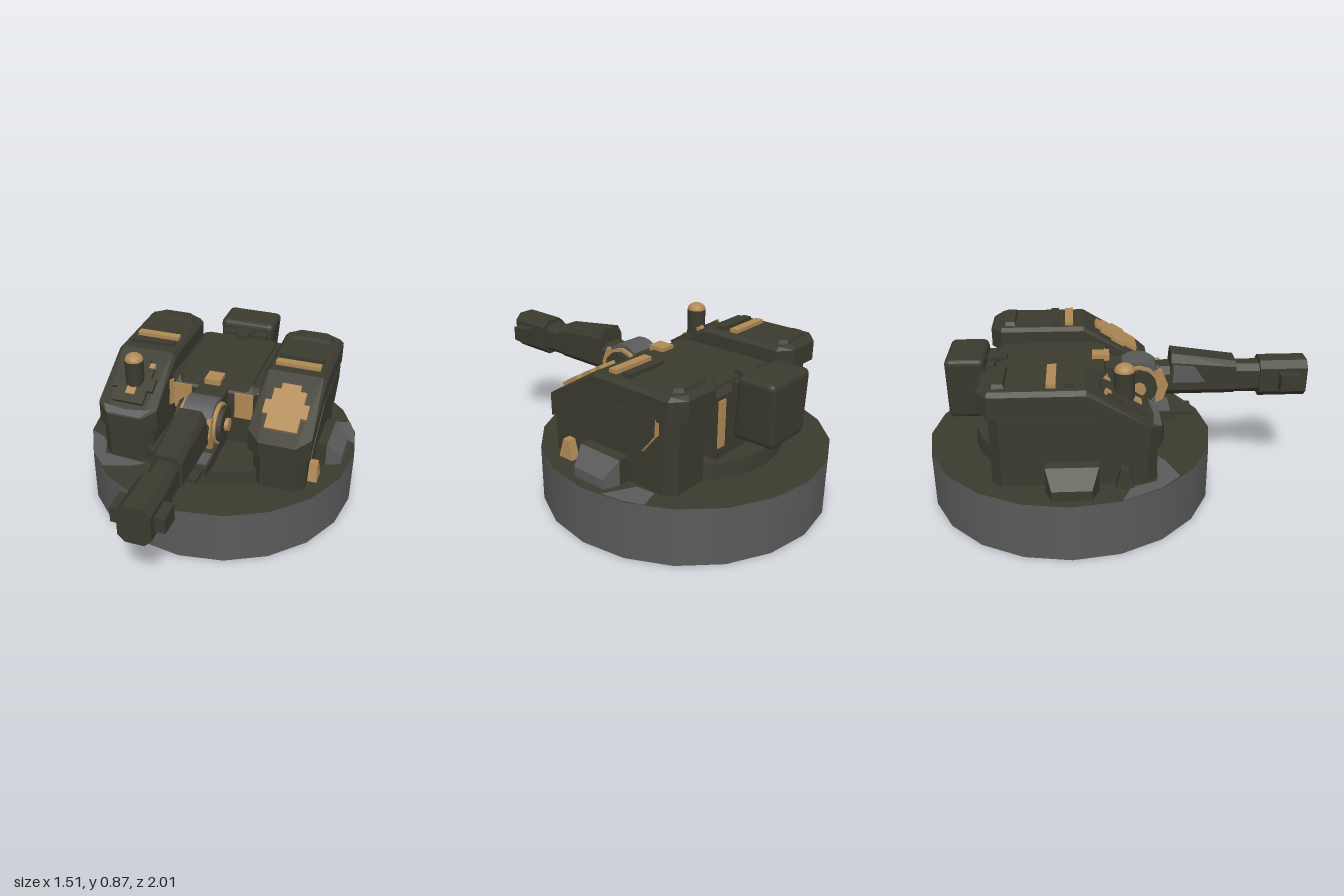
import * as THREE from 'three';
import { ConvexGeometry } from 'three/addons/geometries/ConvexGeometry.js';
import { RoundedBoxGeometry } from 'three/addons/geometries/RoundedBoxGeometry.js';

const paint = (name, color) => {
  const m = new THREE.MeshStandardMaterial({ color, side: THREE.DoubleSide });
  m.name = name;
  return m;
};

export function createModel() {
  const root = new THREE.Group();
  root.name = 'gunTurret';
  const olive = paint('darkOlive', 0x3b3a2f);
  const gray = paint('gunGray', 0x5a5a5b);
  const tan = paint('sandTan', 0xb08955);

  const add = (parent, name, geo, mat, x = 0, y = 0, z = 0) => {
    const m = new THREE.Mesh(geo, mat);
    m.name = name;
    m.position.set(x, y, z);
    parent.add(m);
    return m;
  };
  const box = (w, h, d) => new THREE.BoxGeometry(w, h, d);
  // Convex solid from [z, y, inset] side points, mirrored across its width
  const solid = (x0, x1, pts) => new ConvexGeometry(pts.flatMap(([z, y, i = 0]) =>
    [new THREE.Vector3(x0 + i, y, z), new THREE.Vector3(x1 - i, y, z)]));
  const plate = (pts, depth) => new THREE.ExtrudeGeometry(
    new THREE.Shape(pts.map(p => new THREE.Vector2(...p))), { depth, bevelEnabled: false });
  // Octagonal bar along z
  const octBar = (w, h, c, d) => plate([[-w + c, -h], [w - c, -h], [w, -h + c], [w, h - c],
    [w - c, h], [-w + c, h], [-w, h - c], [-w, -h + c]], d);
  const flat = (name, pts, y) => {
    const m = add(root, name, new THREE.ShapeGeometry(
      new THREE.Shape(pts.map(([x, z]) => new THREE.Vector2(x, -z)))), gray, 0, y, 0);
    m.rotation.x = -Math.PI / 2;
  };

  // Hollow drum with a deck and a raised turning ring
  add(root, 'drumWall', new THREE.CylinderGeometry(0.755, 0.755, 0.3, 20, 1, true), gray, 0, 0.15, -0.25);
  const deck = add(root, 'drumDeck', new THREE.RingGeometry(0.5, 0.755, 20, 1, Math.PI / 2), olive, 0, 0.3, -0.25);
  deck.rotation.x = -Math.PI / 2;
  add(root, 'turningRing', new THREE.CylinderGeometry(0.5, 0.51, 0.08, 32, 1, true), olive, 0, 0.34, -0.25);
  const floor = add(root, 'ringFloor', new THREE.CircleGeometry(0.5, 32), olive, 0, 0.38, -0.25);
  floor.rotation.x = -Math.PI / 2;
  flat('deckPatchFront', [[-0.715, -0.01], [-0.6, 0.04], [-0.55, 0.17], [-0.3, 0.19], [-0.36, 0.23],
    [-0.51, 0.285], [-0.611, 0.19]], 0.303);
  flat('deckPatchRear', [[0.57, -0.54], [0.675, -0.57], [0.715, -0.48], [0.735, -0.36], [0.58, -0.44]], 0.303);

  // Centre hull with raised roof panel
  add(root, 'centreHull', solid(-0.25, 0.25, [[-0.06, 0.38, 0.03], [-0.06, 0.68, 0.03], [-0.1, 0.72, 0.05],
    [-0.12, 0.38], [-0.12, 0.7], [-0.64, 0.7], [-0.62, 0.72, 0.03], [-0.64, 0.38]]), olive);
  add(root, 'roofPanel', solid(-0.21, 0.21, [[-0.06, 0.7, 0.04], [-0.1, 0.7], [-0.11, 0.735, 0.01],
    [-0.07, 0.735, 0.05], [-0.6, 0.735, 0.01], [-0.61, 0.7]]), olive);
  for (const s of [-1, 1]) {
    add(root, 'frontCheek', box(0.1, 0.15, 0.008), tan, s * 0.17, 0.615, -0.058);
    add(root, 'cheekFlank', box(0.008, 0.15, 0.06), tan, s * 0.238, 0.615, -0.09).rotation.y = s * 0.46;
    add(root, 'rearStrip', box(0.05, 0.24, 0.008), tan, s * 0.22, 0.56, -0.645);
  }
  add(root, 'roofLatch', box(0.1, 0.03, 0.05), olive, 0, 0.74, -0.645);
  add(root, 'roofLatchTongue', box(0.06, 0.03, 0.06), olive, 0, 0.74, -0.6);

  // Rear stowage box
  add(root, 'rearMount', box(0.26, 0.26, 0.08), olive, 0, 0.61, -0.67);
  const bin = new RoundedBoxGeometry(0.32, 0.33, 0.2, 2, 0.03);
  const p = bin.attributes.position;
  for (let i = 0; i < p.count; i++) {
    const k = 0.5 - p.getY(i) / 0.33;
    p.setX(i, p.getX(i) * (1 - 0.14 * k));
    if (p.getZ(i) > 0) p.setZ(i, p.getZ(i) + 0.03 * k);
  }
  bin.computeVertexNormals();
  add(root, 'rearBin', bin, olive, 0, 0.625, -0.775);

  // Armoured side pods
  const cross = [[-0.085, -0.13], [0.085, -0.13], [0.085, -0.05], [0.115, -0.05], [0.115, 0.03], [0.085, 0.03],
    [0.085, 0.1], [0.05, 0.1], [0.05, 0.135], [-0.05, 0.135], [-0.05, 0.1], [-0.085, 0.1],
    [-0.085, 0.03], [-0.115, 0.03], [-0.115, -0.05], [-0.085, -0.05]];
  for (const s of [-1, 1]) {
    const pod = new THREE.Group();
    pod.name = s > 0 ? 'leftPod' : 'rightPod';
    root.add(pod);
    const span = (a, b) => s > 0 ? [a, b] : [-b, -a];
    add(pod, 'podBody', solid(...span(0.28, 0.56), [[0.17, 0.3, 0.05], [0.17, 0.52, 0.05], [0.12, 0.3],
      [0.12, 0.54], [-0.17, 0.74], [-0.58, 0.74], [-0.58, 0.3], [-0.63, 0.3, 0.05], [-0.63, 0.74, 0.05]]), olive);
    add(pod, 'slopedArmour', solid(...span(0.25, 0.58), [[0.19, 0.5, 0.07], [0.19, 0.58, 0.07], [0.13, 0.49],
      [0.13, 0.61], [-0.17, 0.8, 0.02], [-0.17, 0.78], [-0.17, 0.67]]), olive);
    add(pod, 'topArmour', solid(...span(0.25, 0.58), [[-0.17, 0.8, 0.02], [-0.17, 0.78], [-0.17, 0.67],
      [-0.62, 0.8, 0.02], [-0.62, 0.78], [-0.62, 0.67], [-0.66, 0.8, 0.09], [-0.68, 0.78, 0.07],
      [-0.68, 0.68, 0.07]]), olive);
    // Side panel and its coloured rear edge
    add(pod, 'sidePanel', solid(...span(0.55, 0.585), [[0.12, 0.5], [0.1, 0.53], [-0.13, 0.68],
      [-0.55, 0.68], [-0.55, 0.6], [-0.47, 0.5]]), olive);
    if (s > 0) {
      add(pod, 'panelEdge', box(0.02, 0.08, 0.008), tan, 0.572, 0.64, -0.552);
      add(pod, 'panelEdgeLower', box(0.02, 0.125, 0.008), tan, 0.572, 0.55, -0.512).rotation.x = -0.675;
    }
    // Roof bars and hatch
    [-0.33, -0.25].forEach((z, i) =>
      add(pod, 'roofBar', box(0.24, 0.03, 0.045), (i === 1) === (s > 0) ? tan : olive, s * 0.41, 0.805, z));
    add(pod, 'roofHatch', solid(...span(0.29, 0.53), [[-0.54, 0.79], [-0.6, 0.79], [-0.64, 0.79, 0.04],
      [-0.55, 0.82, 0.015], [-0.6, 0.82, 0.015], [-0.63, 0.82, 0.045]]), olive);
    // Fittings on the sloped face
    const slope = new THREE.Group();
    slope.name = 'slopeFittings';
    slope.position.set(s * 0.415, 0.69, 0.01);
    slope.rotation.x = -1.022;
    pod.add(slope);
    add(slope, 'slopePlate', plate(cross, 0.02), s > 0 ? tan : olive);
    if (s < 0) {
      for (const x of [-0.07, 0.07]) add(slope, 'plateTab', box(0.03, 0.03, 0.02), tan, x, 0.1, 0.015);
      add(slope, 'plateStud', box(0.05, 0.05, 0.02), tan, 0, -0.06, 0.02);
      add(slope, 'slopePatch', plate([[-0.1, -0.205], [0.09, -0.205], [0.14, -0.15], [0, -0.17], [-0.13, -0.155]], 0.006), gray);
    }
    // Low side blocks and small vents
    add(pod, 'sideBlock', solid(...span(0.54, 0.62), [[-0.115, 0.3], [-0.115, 0.43], [-0.37, 0.3], [-0.37, 0.43]]), olive);
    add(pod, 'sideBlockSlope', new ConvexGeometry([[0.62, 0.43, -0.115], [0.62, 0.43, -0.37], [0.62, 0.3, -0.115],
      [0.62, 0.3, -0.37], [0.7, 0.35, -0.15], [0.7, 0.35, -0.34], [0.7, 0.3, -0.15], [0.7, 0.3, -0.34]]
      .map(([x, y, z]) => new THREE.Vector3(s * x, y, z))), s > 0 ? gray : olive);
    add(pod, 'sideVent', solid(...span(0.55, 0.61), [[0.055, 0.3], [0.03, 0.4, 0.008], [-0.01, 0.4, 0.008],
      [-0.035, 0.3]]), s > 0 ? tan : olive);
  }

  // Periscope on one pod
  add(root, 'periscopeTube', new THREE.CylinderGeometry(0.05, 0.05, 0.15, 16), olive, -0.415, 0.755, 0.015);
  const cap = add(root, 'periscopeCap', new THREE.SphereGeometry(0.05, 16, 6, 0, Math.PI * 2, 0, Math.PI / 2),
    tan, -0.415, 0.83, 0.015);
  cap.scale.y = 0.75;

  // Gun cradle with trunnion discs
  const gun = new THREE.Group();
  gun.name = 'gun';
  root.add(gun);
  const drum = (name, r, w, mat, x, sides) =>
    add(gun, name, new THREE.CylinderGeometry(r, r, w, sides), mat, x, 0.6, 0.11).rotation.z = Math.PI / 2;
  add(gun, 'cradle', box(0.16, 0.2, 0.16), olive, 0, 0.6, -0.01);
  drum('rotor', 0.13, 0.16, gray, 0, 20);
  for (const s of [-1, 1]) {
    drum('trunnionRing', 0.11, 0.03, tan, s * 0.085, 12);
    drum('trunnionDisc', 0.095, 0.05, olive, s * 0.1, 12);
    drum('trunnionCap', 0.035, 0.04, tan, s * 0.125, 8);
    add(gun, 'mantletCheek', solid(s * 0.075 - 0.012, s * 0.075 + 0.012, [[0.2, 0.5], [0.24, 0.52], [0.265, 0.6],
      [0.23, 0.685], [0.19, 0.68]]), tan);
    add(gun, 'muzzleVent', solid(s > 0 ? 0.07 : -0.13, s > 0 ? 0.13 : -0.07, [[0.85, 0.565], [0.85, 0.655],
      [0.96, 0.57], [0.96, 0.65]]), olive);
  }
  add(gun, 'cradleClip', box(0.085, 0.03, 0.09), tan, 0, 0.74, -0.085);
  // Barrel, sloped shroud and muzzle
  add(gun, 'barrel', octBar(0.065, 0.08, 0.03, 0.6), olive, 0, 0.61, 0.17);
  add(gun, 'barrelSleeve', octBar(0.08, 0.08, 0.035, 0.4), olive, 0, 0.61, 0.22);
  add(gun, 'barrelShroud', solid(-0.08, 0.08, [[0.27, 0.6], [0.28, 0.72], [0.28, 0.765, 0.025], [0.62, 0.6],
    [0.62, 0.69], [0.62, 0.715, 0.025]]), olive);
  add(gun, 'shroudPatch', solid(-0.084, -0.08, [[0.29, 0.61], [0.29, 0.71], [0.4, 0.7], [0.46, 0.61]]), gray);
  add(gun, 'muzzle', octBar(0.08, 0.1, 0.035, 0.25), olive, 0, 0.61, 0.75);

  // Small lower barrel on its block
  add(root, 'lowerBlock', box(0.16, 0.07, 0.25), olive, 0, 0.405, 0.07);
  add(root, 'lowerStep', solid(-0.085, 0.085, [[0.17, 0.38], [0.17, 0.445], [0.31, 0.4], [0.31, 0.44]]), olive);
  add(root, 'lowerTip', box(0.13, 0.025, 0.1), olive, 0, 0.42, 0.35);
  add(root, 'lowerPatch', box(0.15, 0.006, 0.1), gray, 0, 0.445, 0.23);
  return root;
}
